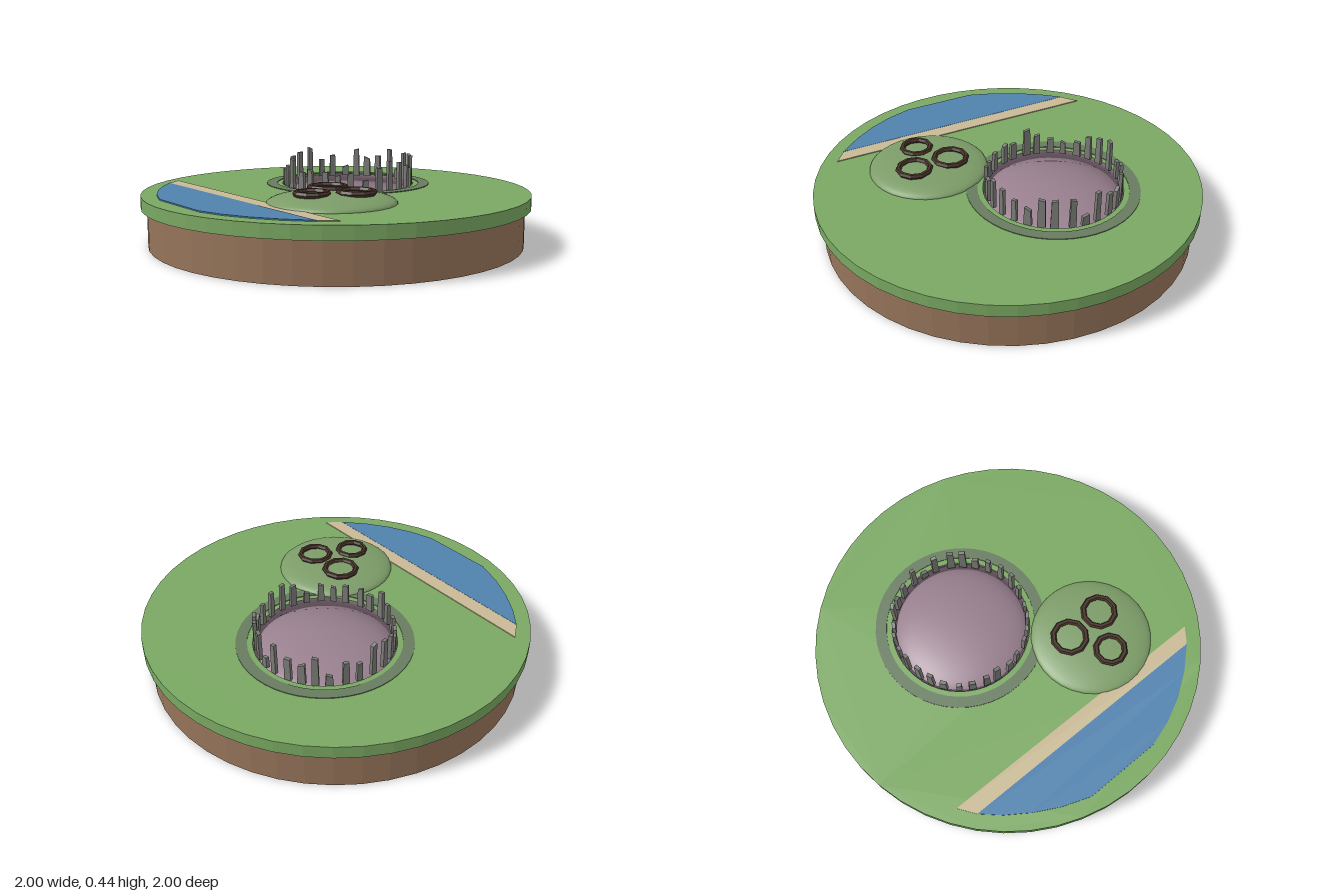
import * as THREE from 'three';

const mat = (name, color) => {
  const m = new THREE.MeshStandardMaterial({ color });
  m.name = name;
  return m;
};

export function createModel() {
  const M = {
    grass: mat('grass green', 0x7aa862),
    earth: mat('earth brown', 0x96745a),
    pit: mat('mauve', 0x9a8190),
    rim: mat('grey green', 0x687c60),
    stone: mat('stone grey', 0x7a7a76),
    hill: mat('hill green', 0x7c9c68),
    wood: mat('dark brown', 0x463128),
    water: mat('water blue', 0x4f81ad),
    sand: mat('sand', 0xc9ba96),
  };
  const root = new THREE.Group();
  root.name = 'islandDiorama';
  const add = (parent, name, geo, material, x = 0, y = 0, z = 0) => {
    const mesh = new THREE.Mesh(geo, material);
    mesh.name = name;
    mesh.position.set(x, y, z);
    parent.add(mesh);
    return mesh;
  };
  const faceted = (geo) => {
    const g = geo.toNonIndexed();
    g.computeVertexNormals();
    return g;
  };
  // Extrude a plan shape (drawn as x, -z) upward
  const slab = (shape, height) => new THREE.ExtrudeGeometry(shape,
    { depth: height, bevelEnabled: false, curveSegments: 24 }).rotateX(-Math.PI / 2);
  const plan = (pts) => new THREE.Shape(pts.map(([x, z]) => new THREE.Vector2(x, -z)));
  const circle = (x, z, r, Kind) => {
    const s = new Kind();
    s.absarc(x, -z, r, 0, Math.PI * 2, Kind === THREE.Path);
    return s;
  };

  const TOP = 0.265, PX = -0.08, PZ = -0.24, PR = 0.36;

  // Earth base, open on top where the grass covers it
  add(root, 'earthSide', faceted(new THREE.CylinderGeometry(0.97, 0.97, 0.2, 48, 1, true)), M.earth, 0, 0.1, 0);
  add(root, 'earthBottom', new THREE.CircleGeometry(0.97, 48).rotateX(Math.PI / 2), M.earth);

  // Grass disc with a round opening for the pit
  const disc = circle(0, 0, 1, THREE.Shape);
  disc.holes.push(circle(PX, PZ, PR, THREE.Path));
  add(root, 'grassDisc', slab(disc, TOP - 0.2), M.grass, 0, 0.2, 0);

  // Shallow pit: a low dome turned inside out, keeping its soft dome normals
  const bowl = new THREE.SphereGeometry(PR, 40, 14, 0, Math.PI * 2, 0, Math.PI / 2).scale(1, 0.32, 1);
  const bp = bowl.attributes.position;
  for (let i = 0; i < bp.count; i++) bp.setY(i, -bp.getY(i));
  add(root, 'pitBowl', bowl, M.pit, PX, TOP, PZ);

  // Flat band around the pit
  const band = circle(PX, PZ, 0.445, THREE.Shape);
  band.holes.push(circle(PX, PZ, 0.388, THREE.Path));
  add(root, 'pitBand', slab(band, 0.004), M.rim, 0, TOP, 0);

  // Ring of jagged standing stones with slanted tops
  let seed = 11;
  const rand = () => (seed = (seed * 16807) % 2147483647) / 2147483647;
  const stones = new THREE.Group();
  stones.name = 'standingStones';
  stones.position.set(PX, TOP - 0.005, PZ);
  root.add(stones);
  const COUNT = 30;
  for (let i = 0; i < COUNT; i++) {
    const a = ((i + 0.25 * (rand() - 0.5)) / COUNT) * Math.PI * 2;
    const h = 0.05 + 0.13 * rand(), w = 0.03 + 0.012 * rand();
    const slant = (rand() - 0.5) * 0.7;
    const geo = new THREE.BoxGeometry(w, h, 0.018).translate(0, h / 2, 0);
    const p = geo.attributes.position;
    for (let k = 0; k < p.count; k++) {
      if (p.getY(k) < h / 2) continue;
      p.setY(k, h + slant * p.getX(k));
      p.setX(k, p.getX(k) * 0.8);
    }
    geo.computeVertexNormals();
    const s = add(stones, 'stone', geo, M.stone, 0.345 * Math.sin(a), 0, 0.345 * Math.cos(a));
    s.rotation.y = a;
  }

  // Low hill
  add(root, 'hill', new THREE.SphereGeometry(0.312, 32, 12, 0, Math.PI * 2, 0, Math.PI / 2)
    .scale(1, 0.17, 1), M.hill, 0.22, TOP, 0.37);

  // Three wooden rings on the hill
  for (const [x, z, r] of [[0.14, 0.285, 0.086], [0.34, 0.345, 0.083], [0.19, 0.495, 0.075]]) {
    const ring = faceted(new THREE.TorusGeometry(r, 0.015, 6, 10).rotateX(Math.PI / 2));
    add(root, 'woodenRing', ring, M.wood, x, 0.32, z);
  }

  // Lake and its straight beach
  add(root, 'lake', slab(plan([[-0.86, 0.35], [-0.8, 0.46], [-0.72, 0.57], [-0.62, 0.68], [-0.5, 0.78],
    [-0.12, 0.915], [0.02, 0.922], [0.16, 0.908], [0.3, 0.872], [0.44, 0.815]]), 0.006), M.water, 0, TOP, 0);
  add(root, 'beach', slab(plan([[-0.89, 0.25], [-0.86, 0.35], [0.44, 0.815], [0.52, 0.762]]), 0.005),
    M.sand, 0, TOP, 0);

  return root;
}
